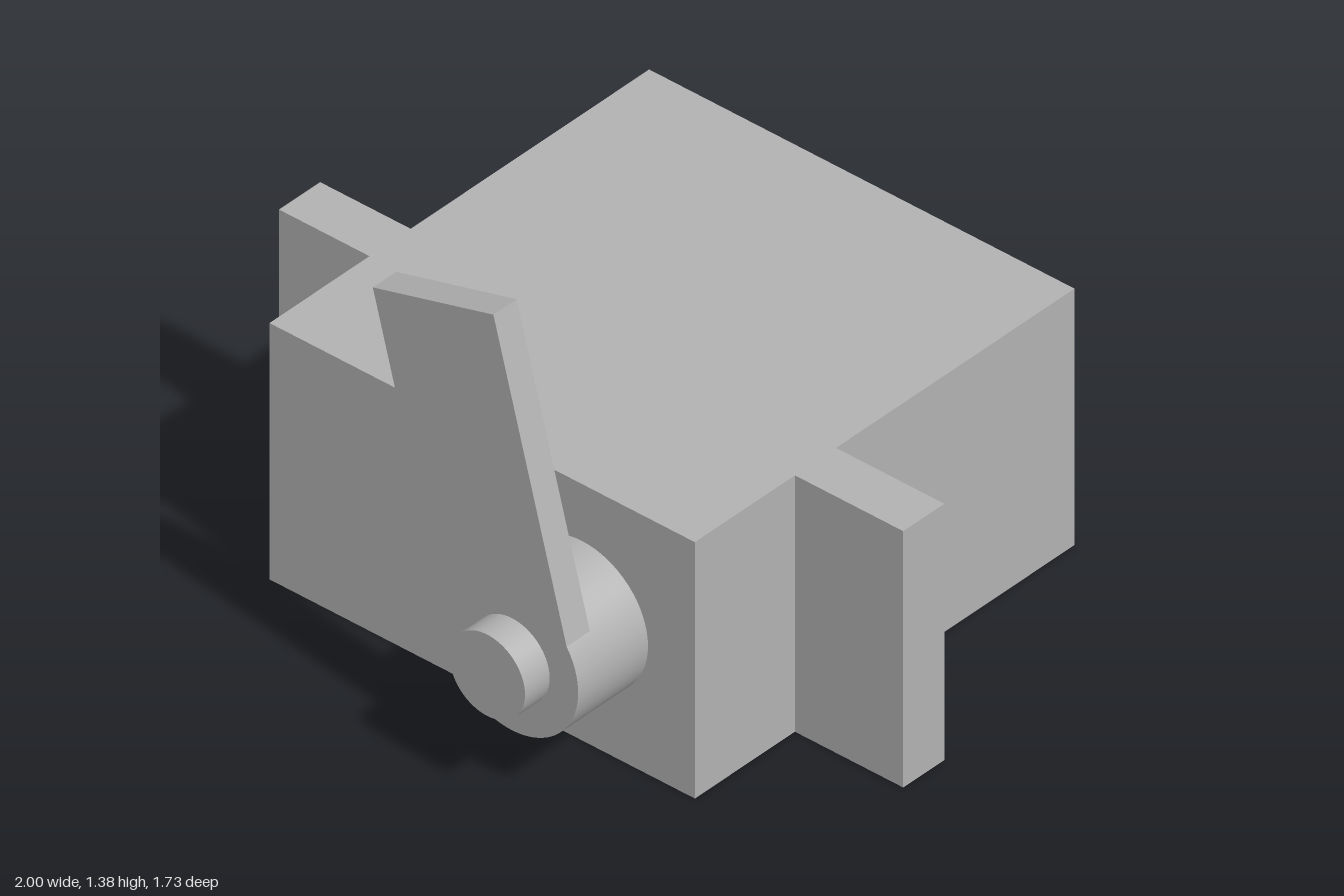
import * as THREE from 'three';
import { toCreasedNormals } from 'three/addons/utils/BufferGeometryUtils.js';

export function createModel() {
  const model = new THREE.Group();
  const grey = new THREE.MeshStandardMaterial({ color: 0xb2b2b2 });
  grey.name = 'plain grey';

  const add = (name, geometry) => {
    const mesh = new THREE.Mesh(geometry, grey);
    mesh.name = name;
    model.add(mesh);
    return mesh;
  };
  // Box given by its extents on each axis
  const box = (name, x0, x1, y0, y1, z0, z1) =>
    add(name, new THREE.BoxGeometry(x1 - x0, y1 - y0, z1 - z0))
      .position.set((x0 + x1) / 2, (y0 + y1) / 2, (z0 + z1) / 2);

  // Case with a mounting flange on each side
  const height = 0.762;
  box('case', -0.71, 0.653, 0, height, -0.865, 0.52);
  box('rightFlange', -1, -0.71, 0, height, 0.005, 0.155);
  box('leftFlange', 0.653, 1, 0, height, 0.005, 0.155);

  // Shaft parts share one axis running forward
  const axisX = 0.291, axisY = 0.381;
  const disc = (name, radius, z0, z1) => {
    const geometry = new THREE.CylinderGeometry(radius, radius, z1 - z0, 64);
    geometry.rotateX(Math.PI / 2);
    add(name, geometry).position.set(axisX, axisY, (z0 + z1) / 2);
  };
  disc('outputBoss', 0.212, 0.52, 0.69);
  disc('shaftCap', 0.121, 0.775, 0.865);

  // Lever arm: straight bar with a round hub, tilted about the shaft
  const radius = 0.212, halfWidth = 0.2, length = 0.976;
  const joinY = Math.sqrt(radius ** 2 - halfWidth ** 2);
  const joinAngle = Math.atan2(joinY, halfWidth);
  const outline = new THREE.Shape();
  outline.moveTo(halfWidth, joinY);
  outline.lineTo(halfWidth, length);
  outline.lineTo(-halfWidth, length);
  outline.lineTo(-halfWidth, joinY);
  outline.absarc(0, 0, radius, Math.PI - joinAngle, Math.PI * 2 + joinAngle, false);
  const armGeometry = new THREE.ExtrudeGeometry(outline, {
    depth: 0.085, bevelEnabled: false, curveSegments: 48,
  });
  const arm = add('leverArm', toCreasedNormals(armGeometry, 0.2));
  arm.position.set(axisX, axisY, 0.69);
  arm.rotation.z = THREE.MathUtils.degToRad(15);

  return model;
}
